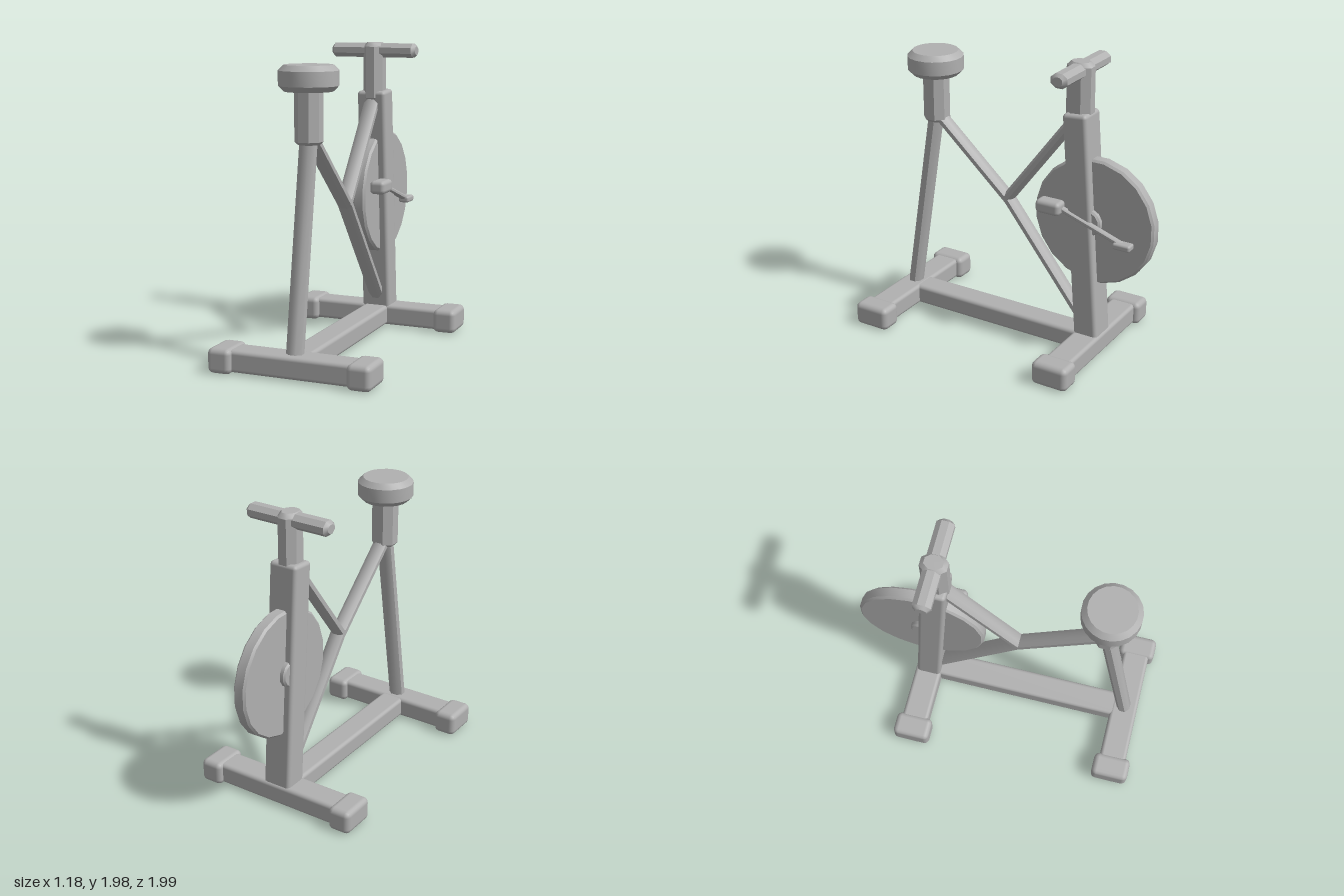
import * as THREE from 'three';
import { RoundedBoxGeometry } from 'three/addons/geometries/RoundedBoxGeometry.js';
import { toCreasedNormals } from 'three/addons/utils/BufferGeometryUtils.js';

export function createModel() {
  const group = new THREE.Group();
  const metal = new THREE.MeshStandardMaterial({ color: 0xb0b0b0 });
  metal.name = 'grey metal';

  function add(name, geometry, x = 0, y = 0, z = 0) {
    const mesh = new THREE.Mesh(geometry, metal);
    mesh.name = name;
    mesh.position.set(x, y, z);
    group.add(mesh);
    return mesh;
  }

  // Box with softened edges
  const box = (name, w, h, d, r, x, y, z) =>
    add(name, new RoundedBoxGeometry(w, h, d, 2, r), x, y, z);

  // Turned part with a chamfer at both ends, axis along y, centred
  function turned(radius, height, bevel, sides, crease = 0.6) {
    const h = height / 2;
    const profile = [
      [0, -h], [radius - bevel, -h], [radius, -h + bevel],
      [radius, h - bevel], [radius - bevel, h], [0, h],
    ].map(([x, y]) => new THREE.Vector2(x, y));
    const lathe = new THREE.LatheGeometry(profile, sides);
    lathe.rotateY(Math.PI / sides);
    return toCreasedNormals(lathe, crease);
  }

  // Eight-sided tube between two points in the plane of x
  function tube(name, x, [y1, z1], [y2, z2], width, depth) {
    const length = Math.hypot(y2 - y1, z2 - z1);
    const geometry = new THREE.CylinderGeometry(0.5, 0.5, length, 8);
    geometry.rotateY(Math.PI / 8);
    geometry.scale(width / 0.924, 1, depth / 0.924);
    const mesh = add(name, toCreasedNormals(geometry, 0.85), x, (y1 + y2) / 2, (z1 + z2) / 2);
    mesh.rotation.x = Math.atan2(z2 - z1, y2 - y1);
    return mesh;
  }

  // Feet with end caps
  for (const [name, z, outer] of [['front', 0.868, 0.54], ['rear', -0.563, 0.59]]) {
    box(name + 'Foot', outer * 2 - 0.2, 0.14, 0.185, 0.025, 0, 0.08, z);
    for (const side of [-1, 1]) {
      box(name + 'FootCap', 0.158, 0.16, 0.255, 0.036, side * (outer - 0.079), 0.08, z);
    }
  }
  box('baseBeam', 0.175, 0.135, 1.4, 0.025, 0, 0.08, 0.15);

  // Leaning main post
  const post = box('mainPost', 0.2, 1.61, 0.168, 0.025, 0, 0.855, -0.507);
  post.rotation.x = Math.atan2(0.11, 1.5);

  // Handlebar stem and handlebar
  const stem = turned(0.09, 0.4, 0.028, 8);
  stem.scale(0.83, 1, 1.03);
  add('handlebarStem', stem, 0, 1.78, -0.443);
  const bar = turned(0.054, 0.6, 0.022, 8);
  bar.rotateZ(Math.PI / 2);
  bar.scale(1, 0.94, 1.15);
  add('handlebar', bar, 0, 1.927, -0.445);

  // Frame tubes
  tube('seatTube', 0, [0.1, 0.868], [1.45, 0.645], 0.105, 0.092);
  tube('upperStrut', 0, [1.44, 0.62], [0.945, 0.072], 0.1, 0.068);
  tube('lowerStrut', 0, [0.975, 0.095], [0.17, -0.535], 0.1, 0.068);
  tube('braceStrut', 0, [0.945, 0.092], [1.6, -0.41], 0.1, 0.068);

  // Seat post and round seat
  add('seatPost', turned(0.089, 0.36, 0.018, 8), 0, 1.58, 0.642);
  add('seat', turned(0.186, 0.16, 0.034, 20, 0.5), 0, 1.803, 0.642);

  // Flywheel and hub
  const wheel = turned(0.427, 0.088, 0.014, 20, 0.5);
  wheel.rotateZ(Math.PI / 2);
  add('flywheel', wheel, 0, 0.945, -0.573);
  const hub = turned(0.093, 0.16, 0.012, 12);
  hub.rotateZ(Math.PI / 2);
  add('hub', hub, 0, 0.945, -0.548);

  // Crank arm with a pedal and a small end peg
  tube('crankArm', 0.092, [1.025, -0.33], [0.862, -0.81], 0.042, 0.036);
  box('pedal', 0.106, 0.09, 0.176, 0.028, 0.107, 1.018, -0.295);
  box('crankPeg', 0.074, 0.044, 0.122, 0.015, 0.098, 0.858, -0.817);

  return group;
}
